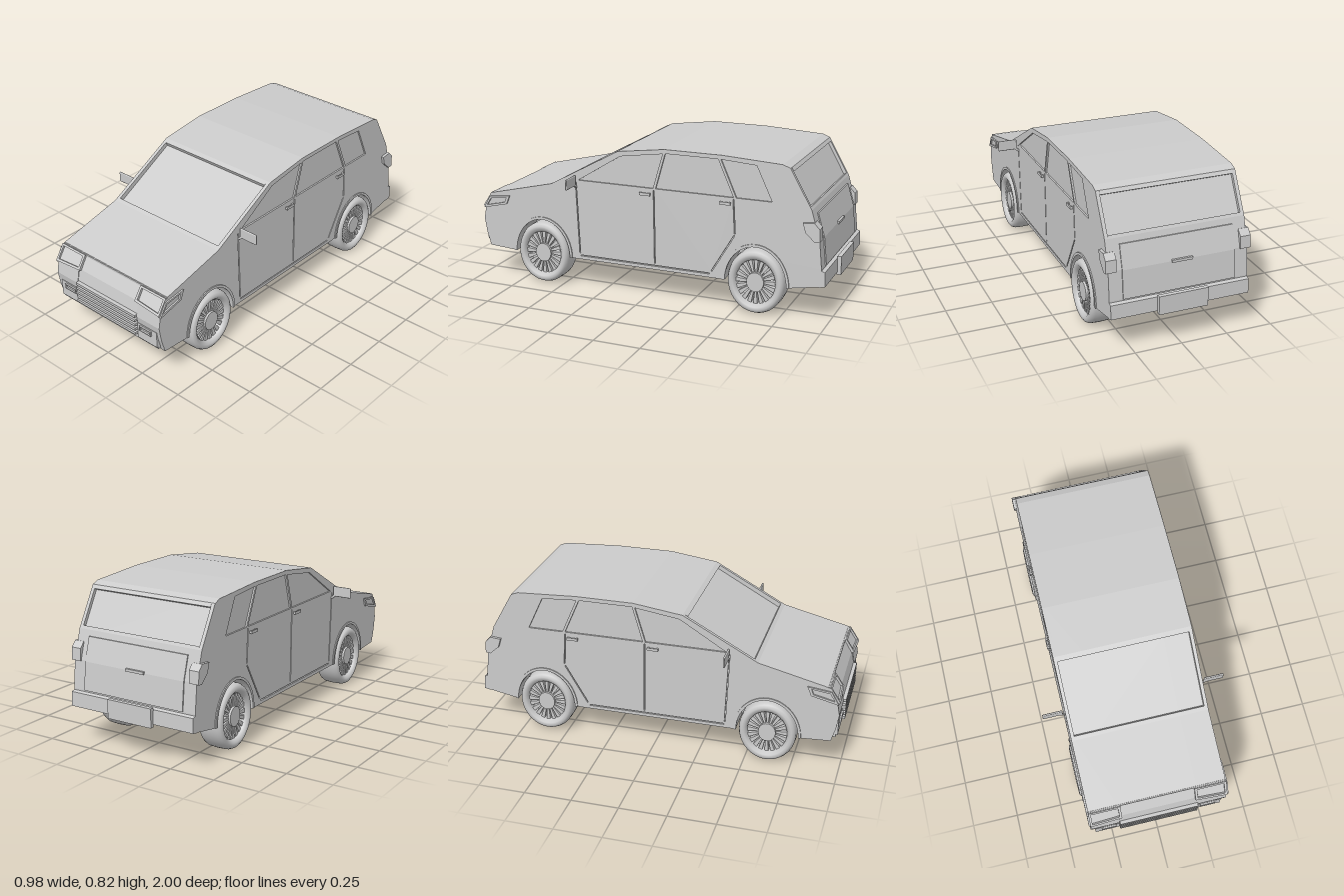
import * as THREE from 'three';
import { RoundedBoxGeometry } from 'three/addons/geometries/RoundedBoxGeometry.js';

const grey = new THREE.MeshStandardMaterial({ color: 0xcccccc });
const WHEEL_Z = [0.615, -0.615];

function add(parent, name, geometry, x = 0, y = 0, z = 0) {
  const mesh = new THREE.Mesh(geometry, grey);
  mesh.name = name;
  mesh.position.set(x, y, z);
  parent.add(mesh);
  return mesh;
}

const box = (parent, name, w, h, d, x, y, z) => add(parent, name, new THREE.BoxGeometry(w, h, d), x, y, z);

const toShape = (points, holes = []) => {
  const shape = new THREE.Shape(points.map(p => new THREE.Vector2(...p)));
  shape.holes = holes.map(h => new THREE.Path(h.map(p => new THREE.Vector2(...p))));
  return shape;
};

// Side outline in (z, y), extruded across the car from x0 to x1
function slab(parent, name, points, x0, x1, holes) {
  const geo = new THREE.ExtrudeGeometry(toShape(points, holes), { depth: x1 - x0, bevelEnabled: false });
  geo.rotateY(-Math.PI / 2).translate(x1, 0, 0);
  return add(parent, name, geo);
}

// Thin slot between two points of the side outline
function slot([z0, y0], [z1, y1], w = 0.006) {
  const l = Math.hypot(z1 - z0, y1 - y0);
  const nz = -(y1 - y0) / l * w / 2, ny = (z1 - z0) / l * w / 2;
  return [[z0 + nz, y0 + ny], [z1 + nz, y1 + ny], [z1 - nz, y1 - ny], [z0 - nz, y0 - ny]];
}

// Body outline: optional grille recess, sunken glass and wheel arches
function outline({ grille, glass, arches }) {
  const nose = grille
    ? [[0.95, 0.175], [0.965, 0.2], [0.955, 0.215], [0.96, 0.34], [0.98, 0.345], [0.965, 0.41]]
    : [[0.95, 0.175], [0.972, 0.25], [0.985, 0.33], [0.97, 0.41]];
  const screen = glass ? [[0.535, 0.583], [0.523, 0.561], [0.168, 0.757], [0.18, 0.779]] : [];
  const rearGlass = glass ? [[-0.797, 0.775], [-0.781, 0.766], [-0.876, 0.596], [-0.892, 0.605]] : [];
  const bottom = [];
  if (arches) {
    for (const cz of [...WHEEL_Z].reverse()) {
      for (let i = 0; i <= 24; i++) {
        const a = Math.PI * (1 - i / 24);
        bottom.push([cz + 0.168 * Math.cos(a), 0.165 + 0.2 * Math.sin(a)]);
      }
    }
  }
  return [
    ...nose, [0.92, 0.485], [0.555, 0.573], ...screen, [0.155, 0.79], [-0.11, 0.825], [-0.425, 0.825],
    [-0.745, 0.808], [-0.785, 0.793], ...rearGlass, [-0.9, 0.59], [-0.945, 0.44], [-0.96, 0.29],
    [-0.96, 0.197], [-0.785, 0.165], ...bottom, [0.785, 0.165],
  ];
}

function buildWheel(parent, z) {
  const wheel = new THREE.Group();
  wheel.name = 'wheel';
  // Tyre profile as (radius, offset along the axle)
  const tyre = [[0.118, -0.055], [0.135, -0.068], [0.15, -0.07], [0.163, -0.062], [0.171, -0.045], [0.173, 0],
    [0.171, 0.045], [0.163, 0.062], [0.15, 0.07], [0.135, 0.068], [0.12, 0.055], [0.116, 0.015]];
  const lathe = pts => new THREE.LatheGeometry(pts.map(p => new THREE.Vector2(...p)), 48).rotateZ(-Math.PI / 2);
  add(wheel, 'tyre', lathe(tyre));
  const disc = (name, r, w, x) => add(wheel, name, new THREE.CylinderGeometry(r, r, w, 40).rotateZ(Math.PI / 2), x);
  disc('rimBack', 0.119, 0.06, -0.015);
  disc('hub', 0.052, 0.05, 0.035);
  // Radial spokes widening outwards
  const spoke = new THREE.ExtrudeGeometry(
    toShape([[-0.005, 0.045], [0.005, 0.045], [0.012, 0.119], [-0.012, 0.119]]),
    { depth: 0.03, bevelEnabled: false }).rotateY(Math.PI / 2);
  for (let i = 0; i < 20; i++) add(wheel, 'spoke', spoke, 0.018).rotation.x = i * Math.PI / 10;
  wheel.scale.z = 0.89;
  wheel.position.set(0.315, 0.174, z);
  parent.add(wheel);
}

function buildSide() {
  const side = new THREE.Group();
  side.name = 'side';

  // Body flank in layers, the outermost pierced by windows and door gaps
  const windows = [
    [[0.39, 0.61], [0.14, 0.765], [-0.1, 0.8], [-0.045, 0.61]],
    [[-0.06, 0.61], [-0.115, 0.803], [-0.405, 0.803], [-0.49, 0.61]],
    [[-0.505, 0.61], [-0.42, 0.803], [-0.61, 0.79], [-0.695, 0.61]],
  ];
  const gaps = [
    slot([0.405, 0.6], [0.388, 0.2]), slot([-0.05, 0.6], [-0.055, 0.2]), slot([-0.49, 0.6], [-0.5, 0.42]),
    slot([-0.498, 0.41], [-0.375, 0.2]), slot([0.385, 0.186], [-0.365, 0.186]),
  ];
  slab(side, 'innerFlank', outline({ glass: true, arches: true }), 0.215, 0.352);
  slab(side, 'flank', outline({ arches: true }), 0.352, 0.362);
  slab(side, 'outerFlank', outline({ arches: true }), 0.362, 0.371, [...windows, ...gaps]);

  // Wheels and arch lips
  for (const z of WHEEL_Z) {
    buildWheel(side, z);
    const lip = [];
    for (const [r, dir] of [[0, 1], [0.014, -1]]) {
      for (let i = 0; i <= 24; i++) {
        const a = Math.PI * (dir > 0 ? i : 24 - i) / 24;
        lip.push([z + (0.166 + r) * Math.cos(a), 0.166 + (0.198 + r) * Math.sin(a)]);
      }
    }
    slab(side, 'archLip', lip, 0.36, 0.377);
  }

  // Door handles
  for (const z of [-0.003, -0.447]) {
    box(side, 'doorHandle', 0.006, 0.015, 0.06, 0.382, 0.578, z);
    for (const e of [-0.024, 0.024]) box(side, 'handleMount', 0.014, 0.013, 0.01, 0.374, 0.578, z + e);
  }

  // Mirror
  add(side, 'mirror', new RoundedBoxGeometry(0.108, 0.058, 0.01, 3, 0.005), 0.437, 0.61, 0.402);
  box(side, 'mirrorArm', 0.03, 0.012, 0.01, 0.382, 0.578, 0.402).rotation.z = 0.6;

  // Headlight: framed front face and wraparound
  const frame = toShape([[0.2, 0], [0.372, -0.012], [0.372, 0.085], [0.2, 0.085]],
    [[[0.213, 0.012], [0.213, 0.074], [0.36, 0.074], [0.36, 0.002]]]);
  add(side, 'headlightFrame', new THREE.ExtrudeGeometry(frame, { depth: 0.016, bevelEnabled: false }),
    0, 0.405, 0.967).rotation.x = -0.588;
  slab(side, 'headlightWrap', [[0.98, 0.393], [0.94, 0.463], [0.815, 0.478], [0.835, 0.428]], 0.365, 0.38,
    [[[0.96, 0.411], [0.933, 0.453], [0.836, 0.466], [0.847, 0.437]]]);

  // Front bumper corner with fog light
  box(side, 'bumperCorner', 0.132, 0.09, 0.03, 0.281, 0.247, 0.966);
  const fog = toShape([[-0.04, -0.014], [0.04, -0.014], [0.04, 0.014], [-0.04, 0.014]],
    [[[-0.034, -0.009], [-0.034, 0.009], [0.034, 0.009], [0.034, -0.009]]]);
  add(side, 'fogLight', new THREE.ExtrudeGeometry(fog, { depth: 0.01, bevelEnabled: false }), 0.273, 0.27, 0.98);

  // Tail light wrapping the rear corner
  slab(side, 'tailLight', [[-0.86, 0.525], [-0.92, 0.53], [-0.948, 0.5], [-0.952, 0.435], [-0.925, 0.43],
    [-0.875, 0.475]], 0.33, 0.386);
  return side;
}

export function createModel() {
  const car = new THREE.Group();
  car.name = 'car';
  slab(car, 'centreBody', outline({ grille: true, glass: true }), -0.215, 0.215);

  const left = buildSide();
  left.name = 'leftSide';
  const right = left.clone();
  right.name = 'rightSide';
  right.scale.x = -1;
  car.add(left, right);

  // Grille slats and lower bumper lip
  for (let i = 0; i < 5; i++) box(car, 'grilleSlat', 0.428, 0.014, 0.045, 0, 0.335 - i * 0.026, 0.976);
  box(car, 'bumperLip', 0.69, 0.02, 0.03, 0, 0.197, 0.955);
  box(car, 'hoodEdge', 0.74, 0.012, 0.02, 0, 0.478, 0.917);

  // Tailgate: raised panel following the rear slope, with handle
  slab(car, 'tailgate', [[-0.89, 0.56], [-0.915, 0.56], [-0.951, 0.438], [-0.966, 0.29], [-0.94, 0.29]], -0.3, 0.3);
  box(car, 'tailgateHandle', 0.11, 0.014, 0.014, -0.013, 0.44, -0.953);

  // Rear bumper and plate holder
  slab(car, 'rearBumper', [[-0.95, 0.285], [-0.978, 0.275], [-0.982, 0.2], [-0.95, 0.192]], -0.371, 0.371);
  box(car, 'plateHolder', 0.264, 0.1, 0.022, -0.006, 0.235, -0.989);
  return car;
}
